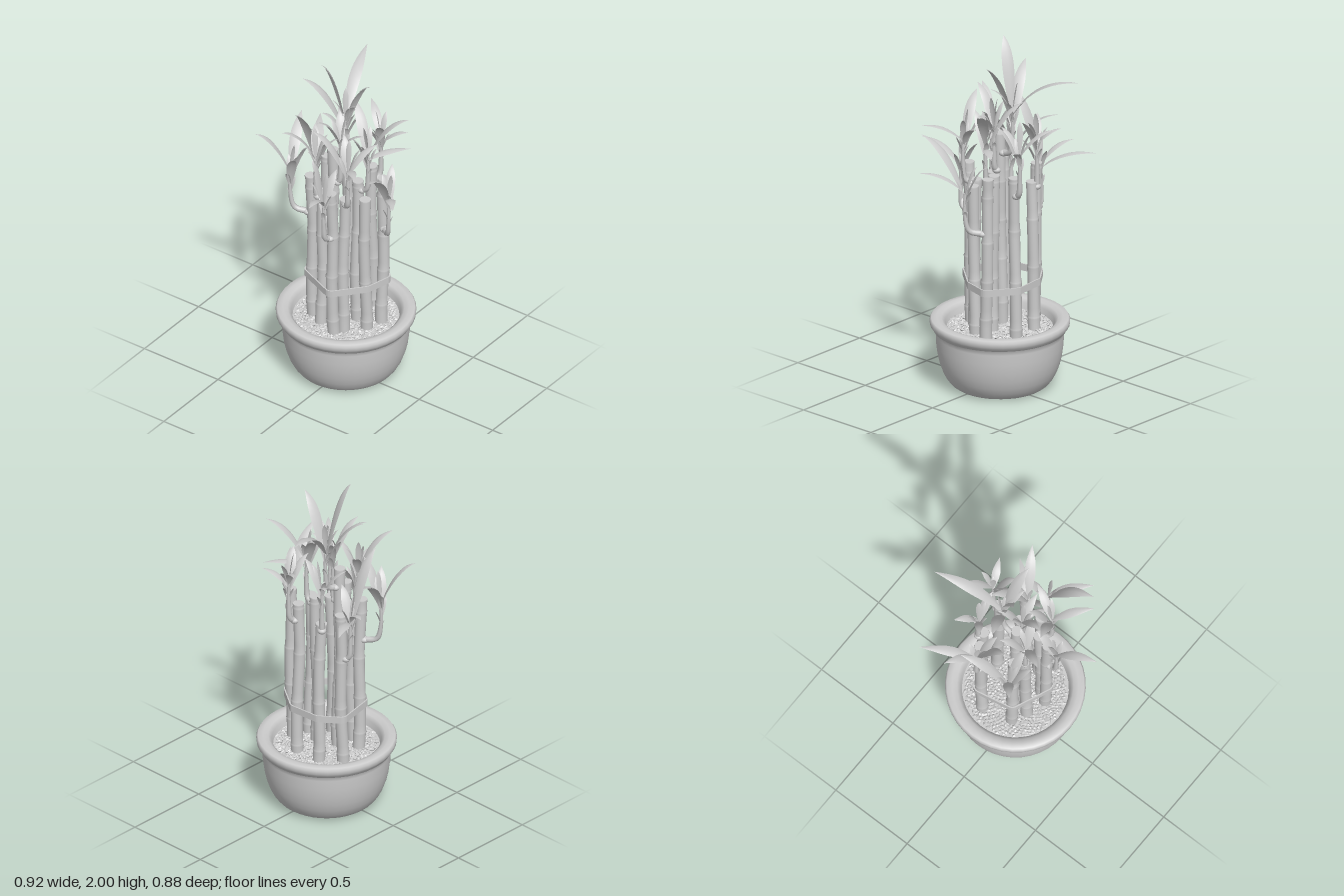
import * as THREE from 'three';
import { mergeGeometries } from 'three/addons/utils/BufferGeometryUtils.js';

const CX = 0.027, CZ = -0.017; // pot centre
const V = (x, y, z) => new THREE.Vector3(x, y, z);
const grey = new THREE.MeshStandardMaterial({ color: 0xcccccc });
const greyFlat = new THREE.MeshStandardMaterial({ color: 0xcccccc, flatShading: true });
const greyThin = new THREE.MeshStandardMaterial({ color: 0xcccccc, side: THREE.DoubleSide });

let seed = 11;
const rnd = () => (seed = (seed * 16807) % 2147483647) / 2147483647;

function add(group, name, geometry, material = grey) {
  const mesh = new THREE.Mesh(geometry, material);
  mesh.name = name;
  group.add(mesh);
  return mesh;
}

function indexed(pos, idx) {
  const g = new THREE.BufferGeometry();
  g.setAttribute('position', new THREE.Float32BufferAttribute(pos, 3));
  g.setIndex(idx);
  g.computeVertexNormals();
  return g;
}

// Loft of round rings: each ring is [centre, radius]
function loftRings(rings, sides = 16) {
  const pos = [], idx = [];
  for (const [c, r] of rings)
    for (let i = 0; i < sides; i++) {
      const a = (i / sides) * Math.PI * 2;
      pos.push(c.x + r * Math.sin(a), c.y, c.z + r * Math.cos(a));
    }
  for (let k = 0; k < rings.length - 1; k++)
    for (let i = 0; i < sides; i++) {
      const a = k * sides + i, b = k * sides + (i + 1) % sides;
      idx.push(a, b, a + sides, b, b + sides, a + sides);
    }
  return indexed(pos, idx);
}

// Canes: top x, top z, height; they lean alternately left and right
const canes = [[-0.165, 0.025, 1.27], [0.115, 0.175, 1.28], [0.182, 0.04, 1.27], [-0.085, 0.055, 1.2],
  [-0.085, -0.17, 1.27], [0.12, -0.213, 1.27], [-0.025, -0.07, 1.45], [0.045, 0.05, 1.25],
  [0.175, -0.115, 1.2], [-0.09, -0.085, 1.2], [-0.025, 0.145, 1.2]].map(([x, z, top], i) => {
  const lean = i % 2 ? -0.016 : 0.018;
  const at = (y) => {
    const w = 0.005 * Math.sin(y * 8 + i * 1.7);
    return V(x + lean * (top - y) / (top - 0.3) + w, y, z + w * 0.6);
  };
  return { top, at };
});
const caneRadius = (y) => 0.035 - 0.004 * (y - 0.3);

// Cane with swollen joints and a flat cut top
function buildCane({ top, at }, i) {
  const group = new THREE.Group();
  group.name = 'cane' + (i + 1);
  const rings = [[at(0.3), caneRadius(0.3)]];
  for (let j = 0; j < 4; j++) {
    const y = 0.43 + 0.26 * j + 0.04 * Math.sin(i * 2.3 + j);
    for (const [dy, k] of [[-0.05, 0.98], [-0.01, 1.04], [0, 1.06], [0.006, 0.96], [0.05, 0.94]])
      if (y + dy < top - 0.01) rings.push([at(y + dy), caneRadius(y) * k]);
  }
  rings.push([at(top - 0.006), caneRadius(top) * 1.04], [at(top), caneRadius(top)]);
  add(group, 'caneStem', loftRings(rings));
  const cap = add(group, 'caneTop', new THREE.CircleGeometry(caneRadius(top), 16).rotateX(-Math.PI / 2));
  cap.position.copy(at(top));
  return group;
}

// Arching, creased leaf blade from start to tip
function leafGeometry(start, tip, halfWidth) {
  const dir = V(tip.x - start.x, 0, tip.z - start.z);
  const side = V(-dir.z, 0, dir.x).normalize();
  const mid = start.clone().addScaledVector(dir, 0.36);
  mid.y = start.y + (tip.y - start.y) * 0.8 + dir.length() * 0.16;
  const curve = new THREE.QuadraticBezierCurve3(start, mid, tip);
  const n = 12, pos = [], idx = [];
  for (let i = 0; i <= n; i++) {
    const t = i / n, p = curve.getPoint(t);
    const w = halfWidth * (0.2 * (1 - t) + Math.sin(Math.PI * t) * (i < n));
    const normal = side.clone().cross(curve.getTangent(t)).normalize();
    for (const s of [-1, 0, 1]) {
      const q = p.clone().addScaledVector(side, s * w).addScaledVector(normal, s ? -w * 0.3 : 0);
      pos.push(q.x, q.y, q.z);
    }
    if (i < n)
      for (const k of [0, 1]) {
        const a = i * 3 + k;
        idx.push(a, a + 1, a + 3, a + 1, a + 4, a + 3);
      }
  }
  return indexed(pos, idx);
}

// Side shoot from the nearest cane: bud, stem curving out and up, sheaths, leaves
function buildShoot([crown, ...tips], i) {
  const group = new THREE.Group();
  group.name = 'shoot' + (i + 1);
  const b = V(...crown), rootY = b.y - 0.24;
  const foot = canes.filter((c) => c.top > rootY).map((c) => c.at(rootY))
    .sort((p, q) => Math.hypot(p.x - b.x, p.z - b.z) - Math.hypot(q.x - b.x, q.z - b.z))[0];
  const a = foot.clone().add(V(b.x - foot.x, 0, b.z - foot.z).setLength(0.027));
  const low = V(a.x + (b.x - a.x) * 0.75, a.y + 0.02, a.z + (b.z - a.z) * 0.75);
  const high = V(b.x, a.y + 0.11, b.z);
  const path = new THREE.CatmullRomCurve3([a, low, high, b]);
  const rings = 16, sides = 8, stem = new THREE.TubeGeometry(path, rings, 0.018, sides);
  const p = stem.attributes.position, v = V(0, 0, 0);
  for (let k = 0; k < p.count; k++) { // taper towards the crown
    const t = Math.floor(k / (sides + 1)) / rings, c = path.getPointAt(t);
    v.fromBufferAttribute(p, k).sub(c).multiplyScalar(1 - 0.6 * t).add(c);
    p.setXYZ(k, v.x, v.y, v.z);
  }
  add(group, 'shootStem', stem);
  const bud = add(group, 'shootBud', new THREE.SphereGeometry(0.026, 12, 8));
  bud.scale.y = 0.75;
  bud.position.copy(a);
  // pointed sheaths up the stem, longer towards the crown
  for (let k = 0; k < 5; k++) {
    const s = path.getPointAt(0.45 + k * 0.12), ang = k * 2.6 + i, r = 0.025 + 0.012 * k;
    const e = s.clone().add(V(r * Math.cos(ang), 0.07 + 0.025 * k, r * Math.sin(ang)));
    add(group, 'sheath', leafGeometry(s, e, 0.011 + 0.001 * k), greyThin);
  }
  // open leaves, with one more on the emptiest side, then an upright young one
  const ends = tips.map((t) => V(...t));
  const bare = ends.reduce((sum, e) => sum.add(b).sub(e), V(0, 0, 0)).setY(0).setLength(0.13);
  ends.push(b.clone().add(bare).setY(b.y + 0.17));
  ends.forEach((e, k) => {
    const s = path.getPointAt(1 - 0.1 * (k % 4));
    add(group, 'leaf', leafGeometry(s, e, 0.013 + 0.042 * Math.min(0.42, s.distanceTo(e))), greyThin);
  });
  const young = b.clone().add(V(0.03 * Math.cos(i * 2), 0.2, 0.03 * Math.sin(i * 2)));
  add(group, 'youngLeaf', leafGeometry(b, young, 0.015), greyThin);
  return group;
}

// Tie band stretched round the outer canes
function bandGeometry() {
  const n = 64, pos = [], idx = [], centres = canes.map((c) => c.at(0.62));
  for (let i = 0; i < n; i++) {
    const out = V(Math.sin((i / n) * Math.PI * 2), 0, Math.cos((i / n) * Math.PI * 2));
    const far = centres.reduce((m, q) => (q.dot(out) > m.dot(out) ? q : m));
    for (const [r, dy] of [[0.034, -0.02], [0.041, -0.02], [0.041, 0.02], [0.034, 0.02]])
      pos.push(far.x + r * out.x, far.y + dy, far.z + r * out.z);
    for (let k = 0; k < 4; k++) {
      const p = i * 4 + k, q = i * 4 + (k + 1) % 4, j = ((i + 1) % n) * 4;
      idx.push(p, j + k, q, q, j + k, j + (k + 1) % 4);
    }
  }
  const flat = indexed(pos, idx).toNonIndexed();
  flat.computeVertexNormals();
  return flat;
}

export function createModel() {
  const model = new THREE.Group();
  model.name = 'pottedCanePlant';

  // Pot: rounded bowl, then a flared rim and the inner wall
  const profile = [new THREE.Vector2(0, 0)];
  for (let k = 0; k <= 8; k++) {
    const t = (k / 8) * Math.PI / 2;
    profile.push(new THREE.Vector2(0.225 + 0.127 * Math.sin(t), 0.3 * (1 - Math.cos(t))));
  }
  for (const [r, y] of [[0.353, 0.325], [0.366, 0.33], [0.374, 0.345], [0.384, 0.358], [0.386, 0.38],
    [0.377, 0.394], [0.347, 0.397], [0.32, 0.389], [0.3, 0.37], [0.285, 0.3]])
    profile.push(new THREE.Vector2(r, y));
  add(model, 'pot', new THREE.LatheGeometry(profile, 40)).position.set(CX, 0, CZ);

  // Soil bed and flat gravel chips
  const soil = add(model, 'soil', new THREE.CircleGeometry(0.294, 40).rotateX(-Math.PI / 2));
  soil.position.set(CX, 0.336, CZ);
  const chips = [];
  for (let i = 0; i < 700; i++) {
    const r = 0.28 * Math.sqrt((i + 0.5) / 700), a = i * 2.39996;
    const g = new THREE.OctahedronGeometry(0.018);
    g.scale(0.6 + rnd() * 0.7, 0.3 + rnd() * 0.2, 0.4 + rnd() * 0.4);
    g.rotateX(rnd() * 0.8 - 0.4).rotateY(rnd() * 6.3);
    chips.push(g.translate(CX + r * Math.cos(a), 0.336 + rnd() * 0.005, CZ + r * Math.sin(a)));
  }
  add(model, 'gravel', mergeGeometries(chips), greyFlat);

  canes.forEach((c, i) => model.add(buildCane(c, i)));
  add(model, 'tieBand', bandGeometry(), greyThin);

  // Side shoots: crown, then the tips of the main leaves
  const shoots = [
    [[-0.23, 1.22, 0.02], [-0.46, 1.36, 0.09], [-0.24, 1.49, -0.04]],
    [[0.03, 1.2, 0.27], [-0.16, 1.32, 0.44], [-0.24, 1.5, 0.335]],
    [[0.245, 1.41, 0.06], [0.365, 1.56, -0.095], [0.31, 1.48, 0.2], [0.1, 1.55, 0.05]],
    [[-0.13, 1.42, 0.11], [-0.29, 1.52, 0.28], [0.04, 1.55, 0.19], [-0.2, 1.66, -0.08]],
    [[-0.13, 1.26, -0.28], [-0.255, 1.53, -0.425], [0.12, 1.5, -0.385], [-0.14, 1.5, -0.14]],
    [[0.1, 1.24, -0.27], [0.19, 1.36, -0.44], [0.365, 1.32, -0.44], [-0.1, 1.63, -0.27]],
    [[0.08, 1.58, -0.06], [0.46, 1.83, -0.19], [-0.05, 2, -0.13], [0.05, 1.9, 0.13], [-0.02, 1.83, -0.28]],
    [[-0.02, 1.48, -0.02], [-0.18, 1.71, -0.06], [-0.01, 1.6, 0.13]],
    [[0.045, 1.44, 0.12], [0.17, 1.69, 0.31], [0.23, 1.45, 0.275], [0.165, 1.68, -0.06]],
    [[-0.12, 1.41, -0.115], [-0.29, 1.64, -0.22], [-0.01, 1.56, -0.2]],
    [[0.19, 1.41, -0.14], [0.275, 1.5, -0.25], [0.1, 1.55, -0.24]]];
  shoots.forEach((s, i) => model.add(buildShoot(s, i)));
  return model;
}
